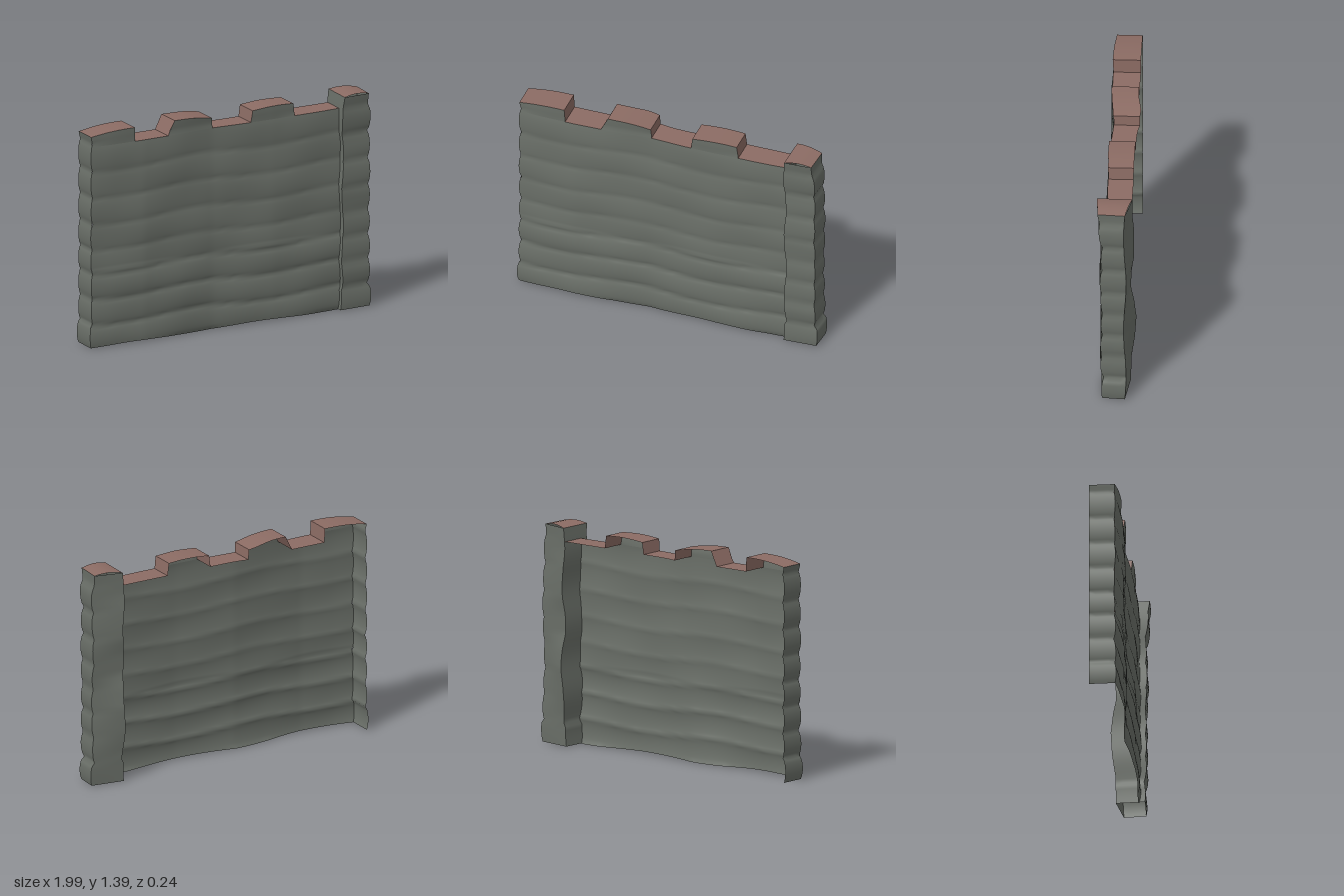
import * as THREE from 'three';

const stone = new THREE.MeshStandardMaterial({ color: 0x6b7069, side: THREE.DoubleSide });
const capStone = new THREE.MeshStandardMaterial({ color: 0x8c6c64, side: THREE.DoubleSide });
const lerp = THREE.MathUtils.lerp;

// Smooth grid surface from a rule (u, v) -> [x, y, z]
function sheet(name, nu, nv, rule, material = stone) {
  const pos = [], index = [];
  for (let j = 0; j <= nv; j++) {
    for (let i = 0; i <= nu; i++) pos.push(...rule(i / nu, j / nv));
  }
  for (let j = 0; j < nv; j++) {
    for (let i = 0; i < nu; i++) {
      const a = j * (nu + 1) + i, b = a + 1, c = a + nu + 1, d = c + 1;
      index.push(a, b, d, a, d, c);
    }
  }
  const geo = new THREE.BufferGeometry();
  geo.setAttribute('position', new THREE.Float32BufferAttribute(pos, 3));
  geo.setIndex(index);
  geo.computeVertexNormals();
  const mesh = new THREE.Mesh(geo, material);
  mesh.name = name;
  return mesh;
}

// Piecewise linear lookup through [key, value] pairs
function along(points, k) {
  for (let i = 1; i < points.length; i++) {
    const [a, va] = points[i - 1], [b, vb] = points[i];
    if (k <= b) return lerp(va, vb, Math.max(0, (k - a) / (b - a)));
  }
  return points[points.length - 1][1];
}

// Stone courses: each bulges between its two joints
const joints = [0.0, 0.155, 0.32, 0.48, 0.635, 0.8, 0.97, 1.14, 1.32, 1.5];
function bulge(y) {
  let i = 0;
  while (i < joints.length - 2 && y >= joints[i + 1]) i++;
  const t = THREE.MathUtils.clamp((y - joints[i]) / (joints[i + 1] - joints[i]), 0, 1);
  return Math.sqrt(Math.max(0, Math.sin(Math.PI * t)));
}

const wallLine = [[-1, 0.06], [-0.85, 0.07], [-0.62, 0.08], [-0.35, 0.067], [-0.12, 0.052], [0.3, 0.066], [0.8, 0.055]];
const frontZ = (x, y) => along(wallLine, x)
  + (y < 0.5 ? 0.016 : 0.009) * bulge(y + 0.012 * Math.sin(6 * x))
  + 0.004 * Math.sin(9 * x + 5 * y) * Math.sin(11 * y - 4 * x);
const backZ = (x) => -0.09 - 0.02 * Math.exp(-(((x + 0.17) / 0.1) ** 2));
const endX = (y) => -0.97 - 0.018 * bulge(y) - (y < 0.155 ? 0.01 : 0);
const bottomY = (x) => 0.012 + 0.006 * Math.sin(7 * x);
const ledgeY = 1.3;

// Battlements: base and top corners in x, and heights of the top
const merlons = [
  { b0: -0.985, b1: -0.68, t0: -0.98, t1: -0.685, y0: 1.365, y1: 1.39 },
  { b0: -0.445, b1: -0.12, t0: -0.4, t1: -0.125, y0: 1.392, y1: 1.365 },
  { b0: 0.145, b1: 0.455, t0: 0.155, t1: 0.445, y0: 1.375, y1: 1.38 },
];

function buildMerlon(m, i) {
  const g = new THREE.Group();
  g.name = 'merlon' + (i + 1);
  const top = (u) => lerp(m.y0, m.y1, u) + 0.008 * Math.sin(Math.PI * u);
  const xAt = (u, v, y) => lerp(i === 0 ? endX(y) : lerp(m.b0, m.t0, v), lerp(m.b1, m.t1, v), u);
  const point = (u, v) => {
    const y = lerp(ledgeY, top(u), v);
    return [xAt(u, v, y), y];
  };
  g.add(sheet('merlonFront', 12, 4, (u, v) => {
    const [x, y] = point(u, v);
    return [x, y, frontZ(x, y)];
  }));
  g.add(sheet('merlonTop', 12, 3, (u, v) => {
    const [x, y] = point(u, 1);
    return [x, y, lerp(frontZ(x, y), backZ(x), v)];
  }, capStone));
  for (const side of i === 0 ? [1] : [0, 1]) {
    g.add(sheet('merlonSide', 3, 3, (u, v) => {
      const [x, y] = point(side, v);
      return [x, y, lerp(frontZ(x, y), backZ(x), u)];
    }, capStone));
  }
  return g;
}

// Corner pillar: four lumpy faces between four wandering corner lines
const backBulge = [[0, -0.085], [0.2, -0.09], [0.34, -0.11], [0.5, -0.12], [0.63, -0.105], [0.72, -0.085],
  [0.85, -0.09], [0.95, -0.105], [1.15, -0.105], [1.25, -0.095], [1.4, -0.095]];
const pillarFront = [[0, 0.09], [0.15, 0.085], [0.25, 0.095], [0.7, 0.09], [0.82, 0.1], [1.1, 0.09], [1.25, 0.105], [1.4, 0.115]];
function pillarCorner(k, y) {
  const b = bulge(y), wide = y < 0.155 ? 0.012 : 0;
  const right = 0.965 + 0.016 * b + wide - 0.018 * THREE.MathUtils.smoothstep(y, 1.25, 1.39);
  const left = 0.775 + 0.007 * Math.sin(14 * y) - wide;
  return [
    [left, along(pillarFront, y) + 0.01 * b],
    [right - 0.01, along(pillarFront, y) - 0.012 + 0.014 * b],
    [right, -0.055 - 0.008 * Math.sin(9 * y)],
    [left + 0.005, along(backBulge, y)],
  ][k % 4];
}

function buildPillar() {
  const g = new THREE.Group();
  g.name = 'cornerPillar';
  const base = 0.01, top = 1.385;
  ['pillarFront', 'pillarOuterSide', 'pillarBack', 'pillarInnerSide'].forEach((name, k) => {
    g.add(sheet(name, 4, 56, (u, v) => {
      const y = lerp(base, top, v);
      const a = pillarCorner(k, y), b = pillarCorner(k + 1, y);
      return [lerp(a[0], b[0], u), y, lerp(a[1], b[1], u)];
    }));
  });
  const [a, b, c, d] = [0, 1, 2, 3].map((k) => pillarCorner(k, top));
  g.add(sheet('pillarTop', 4, 4, (u, v) => [
    lerp(lerp(a[0], b[0], u), lerp(d[0], c[0], u),  v),
    top + 0.012 * Math.sin(Math.PI * u),
    lerp(lerp(a[1], b[1], u), lerp(d[1], c[1], u), v),
  ], capStone));
  return g;
}

export function createModel() {
  const model = new THREE.Group();
  model.name = 'battlementWall';

  // Main face, open at the back
  model.add(sheet('wallFace', 72, 80, (u, v) => {
    const x0 = lerp(-0.98, 0.78, u);
    const y = lerp(bottomY(x0), ledgeY, v);
    const x = lerp(endX(y), 0.78, u);
    return [x, y, frontZ(x, y)];
  }));

  // Free end of the wall
  model.add(sheet('wallEnd', 4, 80, (u, v) => {
    const y = lerp(bottomY(-0.98), merlons[0].y0, v), x = endX(y);
    return [x, y, lerp(frontZ(x, y), backZ(x), u)];
  }));

  // Battlements and the ledges between them
  merlons.forEach((m, i) => {
    model.add(buildMerlon(m, i));
    const next = i < 2 ? merlons[i + 1].b0 : 0.78;
    model.add(sheet('ledge' + (i + 1), 12, 3, (u, v) => {
      const x = lerp(m.b1, next, u);
      return [x, ledgeY, lerp(frontZ(x, ledgeY), backZ(x), v)];
    }, capStone));
  });

  model.add(buildPillar());
  return model;
}
